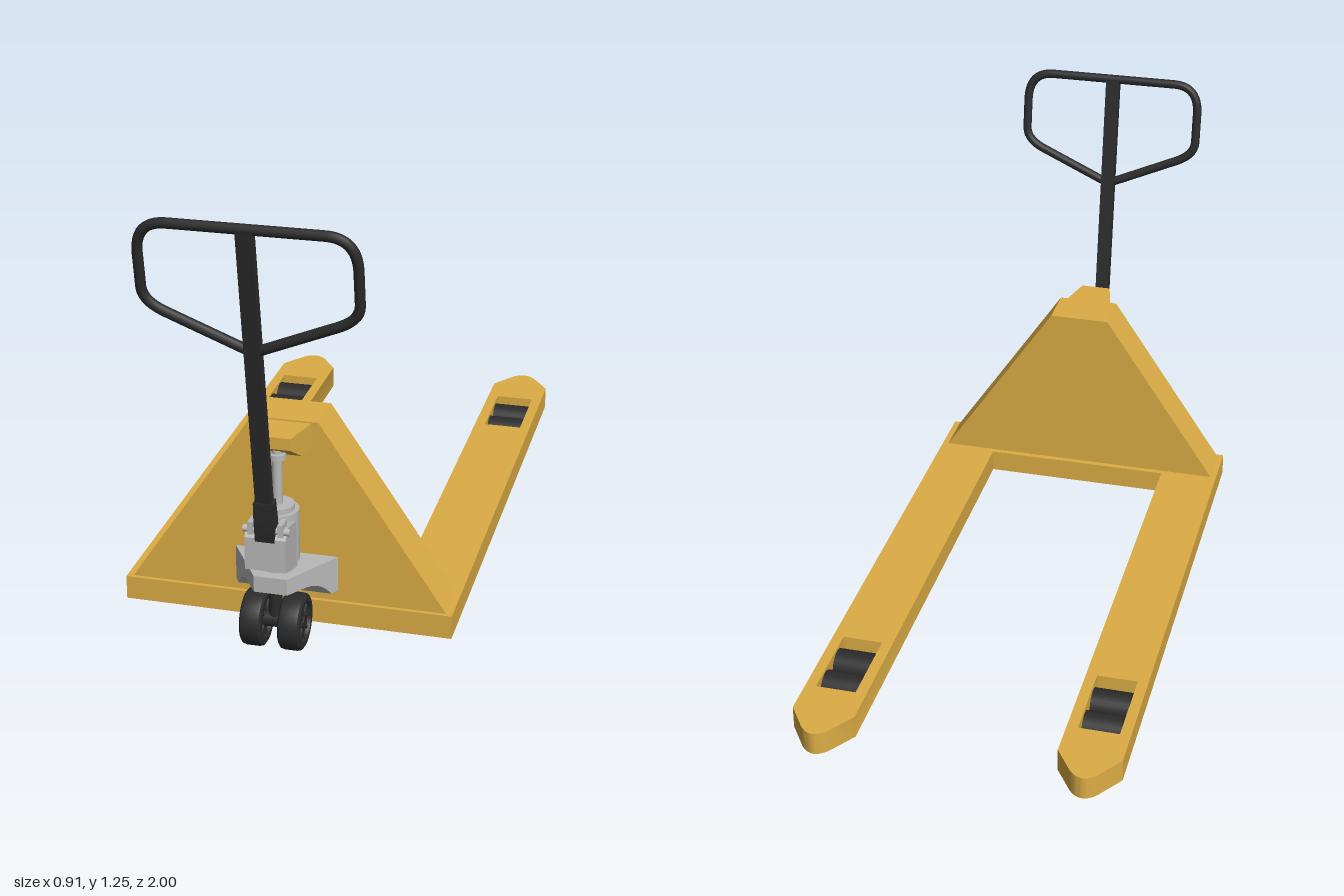
import * as THREE from 'three';
import { toCreasedNormals } from 'three/addons/utils/BufferGeometryUtils.js';

const material = (name, color) => Object.assign(new THREE.MeshStandardMaterial({ color }), { name });

export function createModel() {
  const yellow = material('yellowPaint', 0xdcad45);
  const steel = material('greySteel', 0xb9b9ba);
  const black = material('blackRubber', 0x2b2b2c);
  const model = new THREE.Group();
  model.name = 'palletTruck';

  function add(name, geometry, mat, x = 0, y = 0, z = 0, parent = model) {
    const mesh = new THREE.Mesh(geometry, mat);
    mesh.name = name;
    mesh.position.set(x, y, z);
    parent.add(mesh);
    return mesh;
  }
  const polygon = (pts) => new THREE.Shape(pts.map(([x, y]) => new THREE.Vector2(x, y)));
  const cylinder = (r, h, n = 28) => new THREE.CylinderGeometry(r, r, h, n);
  const axle = (r, w, n = 28) => cylinder(r, w, n).rotateZ(Math.PI / 2);
  // Side profile in (z, y), swept across x with a half width that depends on z
  function taperedBlock(shape, halfWidth) {
    const geo = new THREE.ExtrudeGeometry(shape, { depth: 2, bevelEnabled: false, curveSegments: 10 });
    geo.translate(0, 0, -1).rotateY(-Math.PI / 2);
    const p = geo.attributes.position;
    for (let i = 0; i < p.count; i++) p.setX(i, p.getX(i) * halfWidth(p.getZ(i)));
    return toCreasedNormals(geo, 0.5);
  }

  // Forks and crossbar: one U-shaped plate in plan, with roller openings (shape y is -z)
  const plan = new THREE.Shape();
  plan.moveTo(-0.455, -0.675);
  plan.lineTo(0.455, -0.675);
  plan.lineTo(0.455, 0.905);
  plan.lineTo(0.405, 0.977);
  plan.quadraticCurveTo(0.367, 1.023, 0.329, 0.977);
  plan.lineTo(0.28, 0.905);
  plan.lineTo(0.28, -0.515);
  plan.lineTo(-0.28, -0.515);
  plan.lineTo(-0.28, 0.905);
  plan.lineTo(-0.329, 0.977);
  plan.quadraticCurveTo(-0.367, 1.023, -0.405, 0.977);
  plan.lineTo(-0.455, 0.905);
  for (const s of [-1, 1]) {
    const x = s * 0.368;
    plan.holes.push(polygon([[x - 0.057, 0.57], [x - 0.057, 0.803], [x + 0.057, 0.803], [x + 0.057, 0.57]]));
  }
  const forks = new THREE.ExtrudeGeometry(plan, { depth: 0.067, bevelEnabled: false, curveSegments: 10 });
  add('forks', toCreasedNormals(forks.rotateX(-Math.PI / 2), 0.6), yellow, 0, 0.028, 0);

  // Load rollers in the fork openings
  for (const s of [-1, 1]) {
    for (const z of [-0.635, -0.737]) {
      add('loadRoller', axle(0.045, 0.108), black, s * 0.368, 0.048, z);
      add('rollerAxle', axle(0.01, 0.116, 12), black, s * 0.368, 0.048, z);
    }
  }

  // Upright body and the lifting lug on top
  const body = polygon([[-0.437, 0.095], [0.437, 0.095], [0.09, 0.61], [-0.09, 0.61]]);
  add('uprightBody', new THREE.ExtrudeGeometry(body, { depth: 0.132, bevelEnabled: false }), yellow, 0, 0, 0.532);
  const lug = polygon([[0.66, 0.535], [0.715, 0.535], [0.772, 0.573], [0.772, 0.606], [0.66, 0.606]]);
  add('liftingLug', taperedBlock(lug, (z) => 0.072 - (z - 0.66) * 0.24), yellow);

  // Steering bracket with an arched underside
  const arch = new THREE.Shape();
  arch.moveTo(0.662, 0.125);
  arch.lineTo(0.685, 0.125);
  arch.quadraticCurveTo(0.715, 0.172, 0.76, 0.178);
  arch.lineTo(0.82, 0.18);
  arch.lineTo(0.82, 0.226);
  arch.lineTo(0.662, 0.226);
  add('steeringBracket', taperedBlock(arch, (z) => 0.143 - (z - 0.662) * 0.62), steel);

  // Hydraulic pump
  add('pumpBase', cylinder(0.05, 0.03), steel, 0, 0.238, 0.742);
  add('pumpCylinder', cylinder(0.057, 0.145), steel, 0, 0.32, 0.742);
  add('pumpCap', cylinder(0.045, 0.018), steel, 0, 0.398, 0.742);
  add('pumpRod', cylinder(0.014, 0.17, 18), steel, 0, 0.475, 0.742);
  add('rodCollar', cylinder(0.025, 0.016, 18), steel, 0, 0.543, 0.742);
  const block = polygon([[0.76, 0.25], [0.805, 0.25], [0.862, 0.268], [0.862, 0.36], [0.835, 0.386], [0.76, 0.37]]);
  add('pumpBlock', taperedBlock(block, () => 0.055), steel);
  add('handlePin', axle(0.01, 0.125, 12), steel, 0, 0.378, 0.845);
  for (const s of [-1, 1]) add('hingeEar', new THREE.BoxGeometry(0.014, 0.035, 0.04), steel, s * 0.04, 0.385, 0.84);

  // Steering wheels
  const stem = add('steeringStem', cylinder(0.018, 0.12, 18), black, 0, 0.125, 0.772);
  stem.userData = {};
  add('wheelAxle', axle(0.022, 0.13, 18), black, 0, 0.08, 0.772);
  const rim = [[0, -0.02], [0.05, -0.02], [0.054, -0.03], [0.068, -0.03], [0.075, -0.025], [0.077, -0.017]];
  const profile = [...rim, ...rim.map(([r, y]) => [r, -y]).reverse()].map(([r, y]) => new THREE.Vector2(r, y));
  const tyre = toCreasedNormals(new THREE.LatheGeometry(profile, 36), 0.6).rotateZ(Math.PI / 2);
  for (const s of [-1, 1]) {
    const wheel = new THREE.Group();
    wheel.name = 'steeringWheel';
    wheel.position.set(s * 0.052, 0.08, 0.772);
    model.add(wheel);
    add('tyre', tyre, black, 0, 0, 0, wheel);
    add('hub', axle(0.018, 0.058, 18), black, 0, 0, 0, wheel);
    for (let i = 0; i < 4; i++) {
      const spoke = add('spoke', new THREE.BoxGeometry(0.05, 0.1, 0.007), black, 0, 0, 0, wheel);
      spoke.rotation.x = (i * Math.PI) / 4;
    }
  }

  // Tilted handle: socket, pole and grip loop, drawn upright around its pivot
  const handle = new THREE.Group();
  handle.name = 'handle';
  handle.position.set(0, 0.36, 0.843);
  handle.rotation.x = Math.atan(0.163);
  model.add(handle);
  const socket = polygon([[-0.022, 0], [0.022, 0], [0.022, 0.06], [0.016, 0.115], [-0.016, 0.115], [-0.022, 0.06]]);
  add('handleSocket', taperedBlock(socket, () => 0.026), black, 0, -0.005, 0, handle);
  add('handlePole', new THREE.BoxGeometry(0.042, 0.8, 0.026), black, 0, 0.485, 0, handle);

  // Grip loop with rounded corners, mirrored about the pole
  const half = [[0, 0.55], [0.215, 0.643], [0.274, 0.71], [0.274, 0.80], [0.195, 0.888], [0, 0.888]]
    .map(([x, y]) => new THREE.Vector3(x, y, 0));
  const corners = [new THREE.Vector3(0.274, 0.668, 0), new THREE.Vector3(0.274, 0.888, 0)];
  for (const s of [-1, 1]) {
    const [a, b, c, d, e, f] = half.map((v) => new THREE.Vector3(v.x * s, v.y, 0));
    const [k, m] = corners.map((v) => new THREE.Vector3(v.x * s, v.y, 0));
    const path = new THREE.CurvePath();
    path.add(new THREE.LineCurve3(a, b));
    path.add(new THREE.QuadraticBezierCurve3(b, k, c));
    path.add(new THREE.LineCurve3(c, d));
    path.add(new THREE.QuadraticBezierCurve3(d, m, e));
    path.add(new THREE.LineCurve3(e, f));
    add('gripLoop', new THREE.TubeGeometry(path, 64, 0.0135, 12, false), black, 0, 0, 0, handle);
  }
  return model;
}
